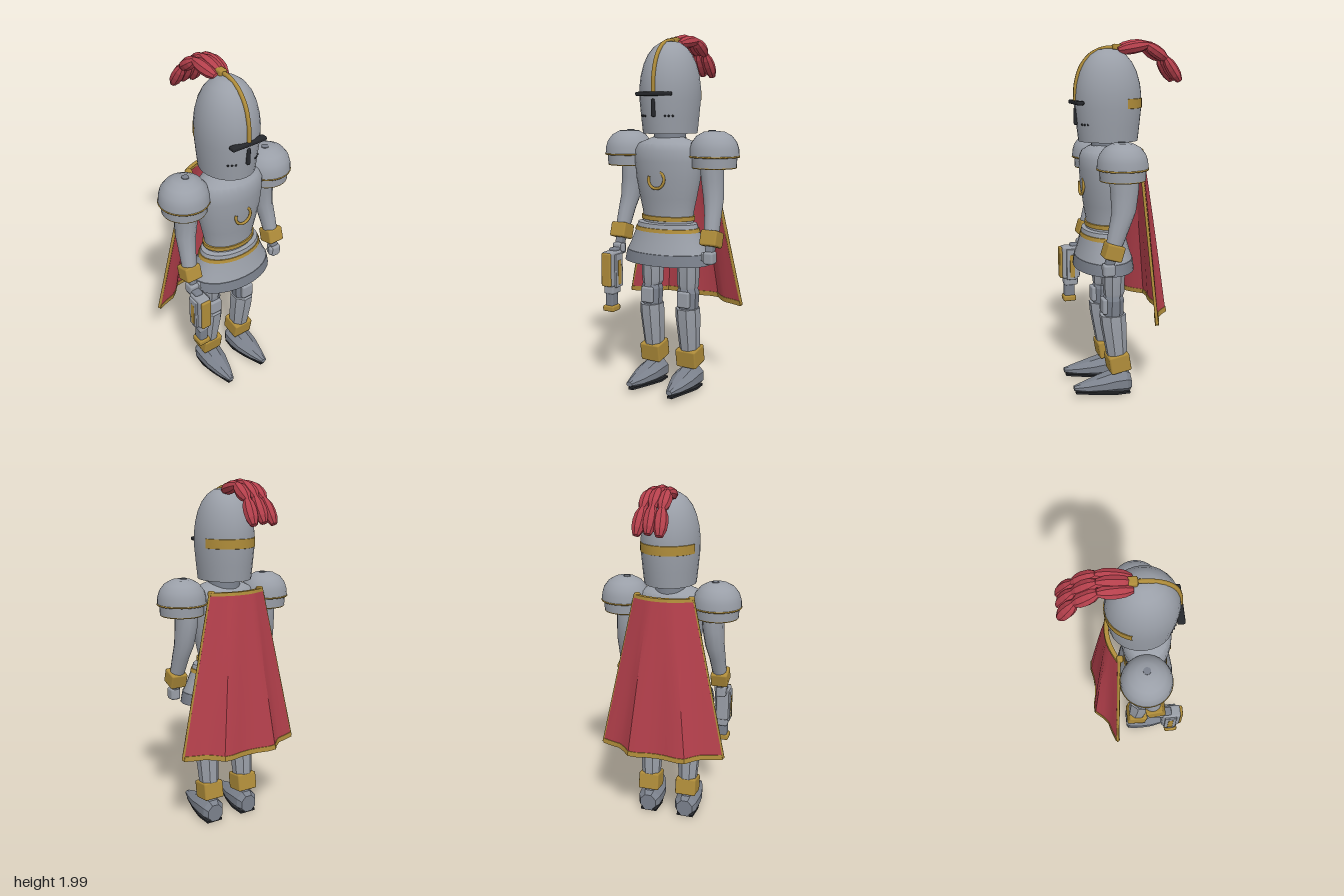
import * as THREE from 'three';
import { toCreasedNormals } from 'three/addons/utils/BufferGeometryUtils.js';
import { RoundedBoxGeometry } from 'three/addons/geometries/RoundedBoxGeometry.js';

const mat = (color, extra = {}) => new THREE.MeshStandardMaterial({ color, side: THREE.DoubleSide, ...extra });
const steel = mat(0x9a9fa8), darkSteel = mat(0x7b818c), gold = mat(0xb08d3a), black = mat(0x26282c);
const red = mat(0xb5404c), plumeRed = mat(0xb5404c, { flatShading: true });
const V = (x, y, z) => new THREE.Vector3(x, y, z);

function add(parent, name, geo, material, x = 0, y = 0, z = 0, rx = 0) {
  const mesh = new THREE.Mesh(geo, material);
  mesh.name = name;
  mesh.position.set(x, y, z);
  mesh.rotation.x = rx;
  parent.add(mesh);
  return mesh;
}

const box = (w, h, d, r = 0.01) => new RoundedBoxGeometry(w, h, d, 1, r);

// Revolved profile of [radius, y] pairs, bottom to top, squashed in z
function lathe(profile, depth = 1, segments = 28, start = 0, sweep = Math.PI * 2) {
  const geo = new THREE.LatheGeometry(profile.map(([r, y]) => new THREE.Vector2(r, y)), segments, start, sweep);
  geo.scale(1, 1, depth);
  return toCreasedNormals(geo, 0.6);
}

// Skin over closed loops of equal, even length, capped at both ends
function loft(loops, crease = 0.6) {
  const n = loops[0].length, last = (loops.length - 1) * n, index = [];
  for (let i = 0; i < loops.length - 1; i++) for (let j = 0; j < n; j++) {
    const a = i * n + j, b = i * n + (j + 1) % n;
    index.push(a, b, b + n, a, b + n, a + n);
  }
  for (let j = 0; j < n / 2 - 1; j++) {
    const [a, b, c, d] = [j, j + 1, n - 2 - j, n - 1 - j];
    index.push(a, c, b, a, d, c);
    index.push(last + a, last + b, last + c, last + a, last + c, last + d);
  }
  const geo = new THREE.BufferGeometry().setFromPoints(loops.flat());
  geo.setIndex(index);
  return toCreasedNormals(geo, crease);
}

const ring = (n, f) => Array.from({ length: n }, (_, i) => f((i + 0.5) / n * Math.PI * 2));
// Limb from [x, y, z, rx, rz] sections, bottom to top
const limb = (sections, s, n = 12, crease = 0.8) => loft(sections.map(([x, y, z, rx, rz]) =>
  ring(n, a => V(s * x + rx * Math.sin(a), y, z + rz * Math.cos(a)))), crease);

function buildHelmet() {
  const g = new THREE.Group();
  g.name = 'helmet';
  g.position.z = 0.08;
  add(g, 'helmetShell', lathe([[0, 1.47], [0.13, 1.47], [0.145, 1.45], [0.153, 1.53], [0.162, 1.63], [0.162, 1.7], [0.155, 1.76],
    [0.14, 1.82], [0.118, 1.87], [0.088, 1.91], [0.05, 1.937], [0, 1.945]], 1.14), steel);
  add(g, 'helmetBackBand', lathe([[0.16, 1.628], [0.1645, 1.63], [0.165, 1.68], [0.16, 1.682]], 1.14, 16, 1.92, 2.44), gold);
  const crest = new THREE.CatmullRomCurve3([V(0, 1.67, 0.184), V(0, 1.76, 0.178), V(0, 1.85, 0.148),
    V(0, 1.915, 0.09), V(0, 1.945, 0.02), V(0, 1.95, -0.05)]);
  add(g, 'helmetCrest', new THREE.TubeGeometry(crest, 24, 0.012, 6), gold);
  add(g, 'plumeSocket', box(0.045, 0.035, 0.05), gold, 0, 1.95, -0.05);
  add(g, 'visorSlit', box(0.21, 0.022, 0.04, 0.008), black, 0, 1.66, 0.178);
  add(g, 'noseSlit', box(0.02, 0.095, 0.03, 0.008), black, 0, 1.587, 0.178);
  for (const s of [-1, 1]) for (const x of [0.06, 0.077, 0.094]) {
    const z = 1.14 * Math.sqrt(0.154 ** 2 - x * x);
    add(g, 'breathHole', new THREE.SphereGeometry(0.006, 8, 6), black, s * x, 1.545, z);
  }
  return g;
}

// Three feather strands, each a chain of faceted lobes
function buildPlume() {
  const g = new THREE.Group();
  g.name = 'plume';
  const path = [[0.025, 1.942, 0.03], [-0.13, 1.97, 0.045], [-0.235, 1.9, 0.05], [-0.312, 1.782, 0.06]];
  const lobe = new THREE.LatheGeometry([[0, -0.56], [0.5, -0.53], [0.9, -0.28], [1, 0], [0.9, 0.28], [0.5, 0.53], [0, 0.56]]
    .map(([r, y]) => new THREE.Vector2(r, y)), 8);
  for (const s of [-1, 0, 1]) for (let i = 0; i < 3; i++) {
    const [a, b] = [path[i], path[i + 1]].map(([z, y, x]) => V(s * x, y - Math.abs(s) * 0.008, z));
    const m = add(g, 'plumeFeather', lobe, plumeRed);
    m.position.copy(a).lerp(b, 0.5);
    m.quaternion.setFromUnitVectors(V(0, 1, 0), b.clone().sub(a).normalize());
    m.scale.set(0.038, a.distanceTo(b), 0.034);
  }
  return g;
}

function buildTorso() {
  const g = new THREE.Group();
  g.name = 'torso';
  add(g, 'neck', new THREE.CylinderGeometry(0.085, 0.095, 0.12, 20), darkSteel, 0, 1.43, 0.085);
  add(g, 'breastplate', lathe([[0.15, 0.96], [0.152, 1.02], [0.17, 1.1], [0.19, 1.2], [0.2, 1.3], [0.197, 1.36],
    [0.175, 1.395], [0.13, 1.415], [0.09, 1.43], [0, 1.43]], 0.68), steel, 0, 0, 0.105);
  add(g, 'waistBelt', lathe([[0.15, 0.975], [0.16, 0.977], [0.16, 1], [0.15, 1.002]], 0.68), gold, 0, 0, 0.105);
  add(g, 'skirt', lathe([[0.245, 0.8], [0.22, 0.85], [0.187, 0.93], [0.178, 0.96], [0.14, 0.965]], 0.64), steel, 0, 0, 0.115);
  add(g, 'skirtRim', lathe([[0, 0.79], [0.22, 0.75], [0.23, 0.74], [0.26, 0.74], [0.247, 0.802], [0.22, 0.81]], 0.64), darkSteel, 0, 0, 0.115);
  add(g, 'skirtBelt', lathe([[0.185, 0.916], [0.197, 0.916], [0.19, 0.936], [0.18, 0.938]], 0.64), gold, 0, 0, 0.115);
  const emblem = add(g, 'chestCrescent', new THREE.TorusGeometry(0.048, 0.008, 8, 24, Math.PI * 1.45), gold, 0, 1.205, 0.235, -0.08);
  emblem.rotation.z = 2.75;
  return g;
}

function buildArm(s) {
  const g = new THREE.Group();
  g.name = s > 0 ? 'leftArm' : 'rightArm';
  const px = s * 0.27, pz = 0.081;
  add(g, 'pauldronDome', lathe([[0.118, 1.33], [0.136, 1.33], [0.133, 1.37], [0.122, 1.405], [0.095, 1.44], [0.055, 1.462], [0, 1.466]]), steel, px, 0, pz);
  add(g, 'pauldronBand', lathe([[0.105, 1.33], [0.108, 1.272], [0.121, 1.272], [0.124, 1.335]]), steel, px, 0, pz);
  for (const [r, y] of [[0.134, 1.33], [0.117, 1.272]]) {
    add(g, 'pauldronTrim', new THREE.TorusGeometry(r, 0.005, 6, 28), gold, px, y, pz, Math.PI / 2);
  }
  add(g, 'pauldronRivet', new THREE.CylinderGeometry(0.02, 0.02, 0.012, 12), darkSteel, s * 0.258, 1.463, pz);
  add(g, 'armPlate', limb([[0.284, 0.91, 0.135, 0.04, 0.045], [0.275, 1.02, 0.1, 0.046, 0.057], [0.265, 1.1, 0.073, 0.054, 0.066],
    [0.255, 1.2, 0.066, 0.06, 0.076], [0.25, 1.28, 0.066, 0.062, 0.082], [0.25, 1.38, 0.07, 0.06, 0.075]], s), steel);
  add(g, 'wristCuff', box(0.098, 0.085, 0.1), gold, s * 0.287, 0.893, 0.14, -0.3);
  add(g, 'wrist', box(0.045, 0.05, 0.05), darkSteel, s * 0.287, 0.84, 0.155, -0.3);
  add(g, 'hand', box(0.06, 0.07, 0.068, 0.015), steel, s * 0.29, 0.795, 0.165);
  add(g, 'thumb', box(0.025, 0.05, 0.03), steel, s * 0.258, 0.8, 0.178);
  return g;
}

function buildLeg(s) {
  const g = new THREE.Group();
  g.name = s > 0 ? 'leftLeg' : 'rightLeg';
  add(g, 'thigh', limb([[0.117, 0.58, 0.087, 0.05, 0.05], [0.115, 0.61, 0.085, 0.062, 0.06], [0.115, 0.8, 0.085, 0.066, 0.066]], s, 8, 0.3), steel);
  add(g, 'knee', limb([[0.117, 0.46, 0.09, 0.058, 0.058], [0.117, 0.57, 0.088, 0.064, 0.06], [0.117, 0.6, 0.087, 0.052, 0.05]], s, 8, 0.3), darkSteel);
  add(g, 'kneePlate', box(0.075, 0.09, 0.03), steel, s * 0.117, 0.535, 0.143);
  add(g, 'shinPlate', limb([[0.117, 0.15, 0.062, 0.05, 0.05], [0.117, 0.25, 0.07, 0.058, 0.062], [0.117, 0.42, 0.088, 0.069, 0.075],
    [0.117, 0.48, 0.092, 0.067, 0.077]], s, 8, 0.3), steel);
  add(g, 'ankleCuff', box(0.126, 0.105, 0.122), gold, s * 0.117, 0.192, 0.063, 0.16);
  // Pointed shoe: [x, z, half width, bottom, top]
  const shoe = [[0.117, -0.008, 0.05, 0.008, 0.11], [0.117, 0.02, 0.068, 0.004, 0.13], [0.117, 0.09, 0.074, 0.014, 0.13],
    [0.119, 0.16, 0.068, 0.022, 0.113], [0.123, 0.25, 0.044, 0.03, 0.092], [0.127, 0.325, 0.018, 0.048, 0.074]];
  add(g, 'shoe', loft(shoe.map(([x, z, w, lo, hi]) =>
    ring(8, a => V(s * x + w * 1.05 * Math.cos(a), (lo + hi) / 2 + (hi - lo) * 0.54 * Math.sin(a), z))), 0.4), darkSteel);
  const sole = [[0.117, 0.0, 0.05, 0], [0.117, 0.09, 0.062, 0.008], [0.12, 0.19, 0.05, 0.02], [0.126, 0.315, 0.014, 0.026]];
  add(g, 'sole', loft(sole.map(([x, z, w, y]) => [V(s * x - w, y, z), V(s * x + w, y, z),
    V(s * x + w, y + 0.012, z), V(s * x - w, y + 0.012, z)])), black);
  return g;
}

// Sidearm hanging muzzle-down from the right hand
function buildSidearm() {
  const g = new THREE.Group();
  g.name = 'sidearm';
  g.position.set(-0.29, 0, 0.24);
  add(g, 'sidearmBody', box(0.074, 0.2, 0.11, 0.014), steel, 0, 0.69, 0);
  add(g, 'sidearmTaper', box(0.066, 0.06, 0.085, 0.012), steel, 0, 0.575, 0);
  add(g, 'sidearmGrip', box(0.05, 0.05, 0.08), darkSteel, 0, 0.78, -0.04);
  add(g, 'sidearmFrontPanel', box(0.06, 0.19, 0.02, 0.008), gold, 0, 0.69, 0.058);
  for (const s of [-1, 1]) {
    add(g, 'sidearmSidePlate', box(0.014, 0.19, 0.07, 0.005), steel, s * 0.04, 0.68, -0.005);
    add(g, 'sidearmInlay', box(0.006, 0.14, 0.03, 0.002), gold, s * 0.046, 0.67, -0.005);
  }
  add(g, 'barrel', box(0.05, 0.1, 0.062), darkSteel, 0, 0.51, 0.008);
  add(g, 'muzzle', box(0.074, 0.035, 0.078), gold, 0, 0.463, 0.01);
  return g;
}

// Flared, folded cape: a thin slab whose folds deepen toward the hem
function buildCape() {
  const g = new THREE.Group();
  g.name = 'cape';
  const hem = [[0, -0.185], [0.06, -0.19], [0.12, -0.203], [0.17, -0.2], [0.21, -0.155], [0.25, -0.122], [0.31, -0.105], [0.365, -0.085]];
  const half = hem.map(([x, z], i) => ({ x, z, topX: 0.165 * i / 7, topZ: -0.1 + 0.05 * (i / 7) ** 2 }));
  const line = [...half.slice(1).reverse().map(p => ({ ...p, x: -p.x, topX: -p.topX })), ...half];
  const row = (y, thick) => {
    const t = (1.4 - y) / 0.92;
    const at = (p, o) => V(THREE.MathUtils.lerp(p.topX, p.x, t), y, THREE.MathUtils.lerp(p.topZ, p.z, Math.pow(t, 0.9)) + o);
    return [...line.map(p => at(p, thick)), ...line.map(p => at(p, -thick)).reverse()];
  };
  add(g, 'capeCloth', loft([0.485, 0.7, 0.95, 1.2, 1.395].map(y => row(y, 0.008)), 0.5), red);
  add(g, 'capeHem', loft([0.48, 0.508].map(y => row(y, 0.012)), 0.5), gold);
  add(g, 'capeCollar', loft([1.382, 1.4].map(y => row(y, 0.012)), 0.5), gold);
  for (const s of [-1, 1]) {
    const edge = new THREE.LineCurve3(V(s * 0.165, 1.395, -0.05), V(s * 0.365, 0.485, -0.085));
    add(g, 'capeEdgeTrim', new THREE.TubeGeometry(edge, 4, 0.009, 6), gold);
    add(g, 'capeClasp', box(0.035, 0.035, 0.035), gold, s * 0.155, 1.39, -0.045);
  }
  return g;
}

export function createModel() {
  const model = new THREE.Group();
  model.name = 'armouredKnight';
  model.add(buildHelmet(), buildPlume(), buildTorso(), buildSidearm(), buildCape());
  for (const s of [-1, 1]) model.add(buildArm(s), buildLeg(s));
  return model;
}
